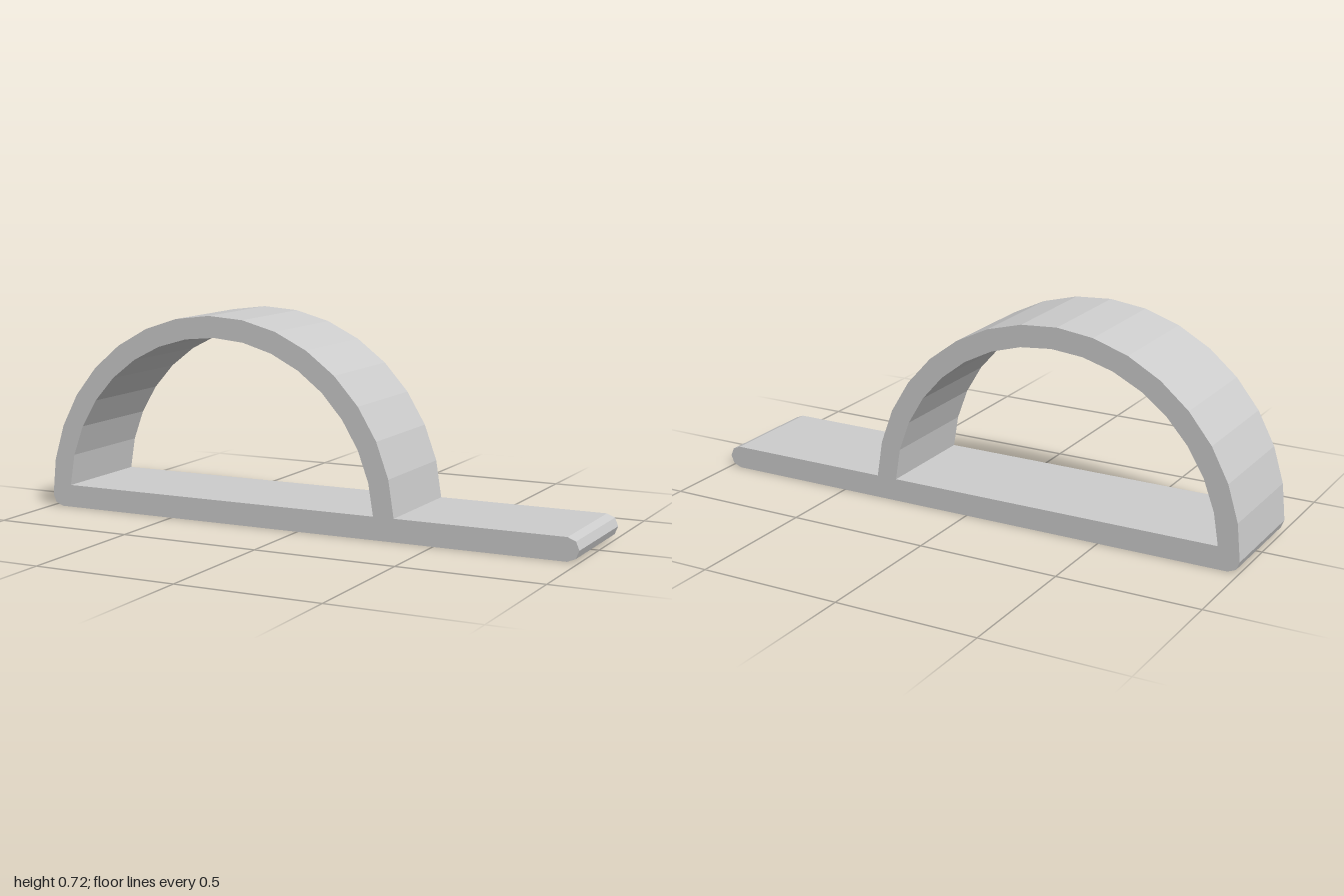
import * as THREE from 'three';

const CX = -0.32, CY = 0.04;   // arch centre
const OUTER = 0.68, INNER = 0.605;
const HALF = 0.04;             // half the base thickness
const SEGMENTS = 16;

// Points along a circular arc, end points included
function arc(cx, cy, radius, from, to, segments) {
  const points = [];
  for (let i = 0; i <= segments; i++) {
    const a = from + (to - from) * i / segments;
    points.push(new THREE.Vector2(cx + radius * Math.cos(a), cy + radius * Math.sin(a)));
  }
  return points;
}

export function createModel() {
  const group = new THREE.Group();
  group.name = 'archOnBase';

  const grey = new THREE.MeshStandardMaterial({ color: 0xcccccc });
  grey.name = 'light grey';

  // Outline: base with rounded ends, flowing into the outer arch
  const shape = new THREE.Shape([
    ...arc(-1 + HALF, CY, HALF, Math.PI * 1.25, Math.PI * 1.5, 1),
    ...arc(1 - HALF, CY, HALF, -Math.PI / 2, Math.PI / 2, 4),
    ...arc(CX, CY, OUTER, Math.asin(HALF / OUTER), Math.PI, SEGMENTS),
  ]);

  // Opening between the arch and the base
  const start = Math.asin(HALF / INNER);
  shape.holes.push(new THREE.Path(arc(CX, CY, INNER, start, Math.PI - start, SEGMENTS).reverse()));

  const geometry = new THREE.ExtrudeGeometry(shape, { depth: 0.4, bevelEnabled: false });
  geometry.translate(0, 0, -0.2);
  const body = new THREE.Mesh(geometry, grey);
  body.name = 'archAndBase';
  group.add(body);

  return group;
}
